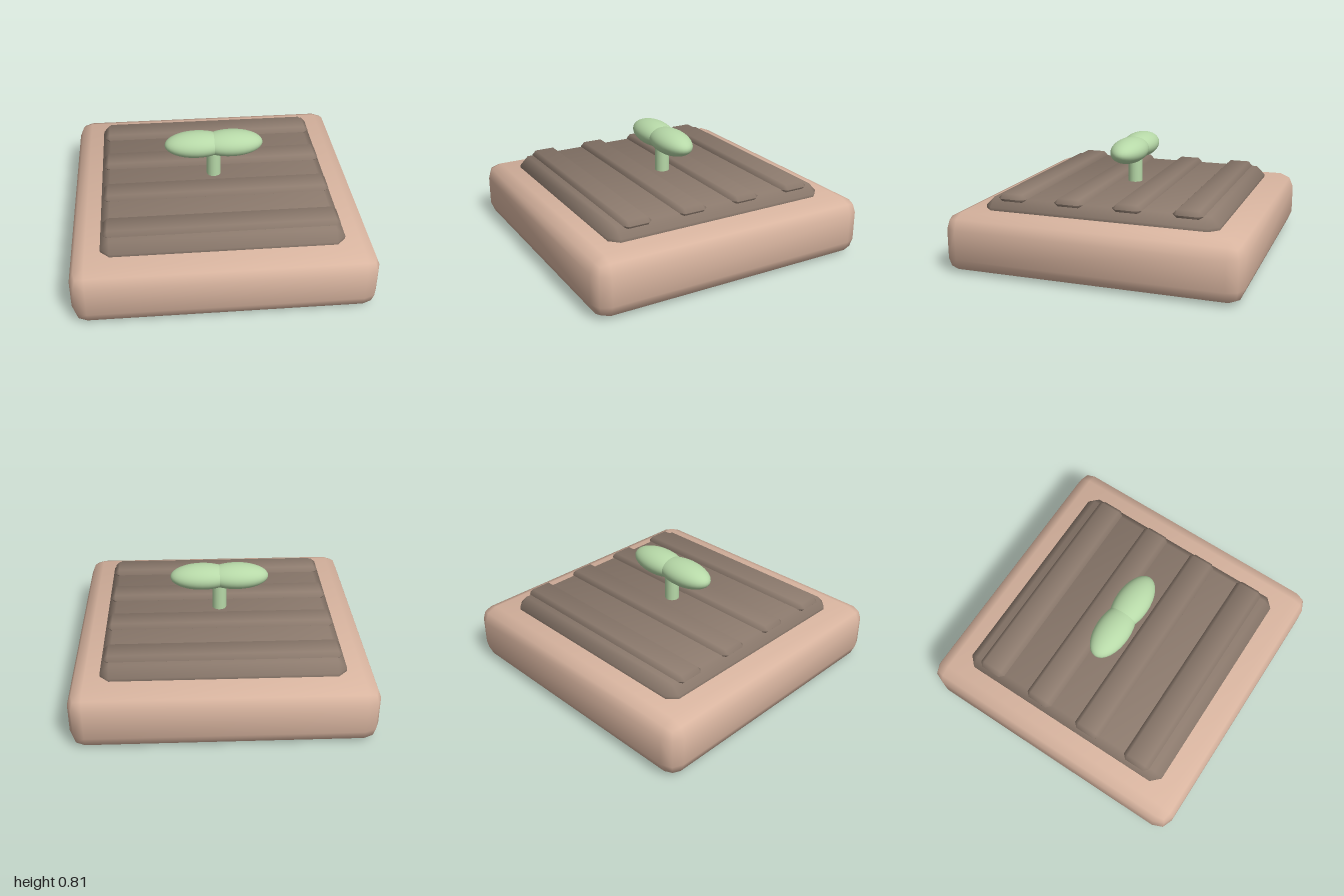
import * as THREE from 'three';
import { ConvexGeometry } from 'three/addons/geometries/ConvexGeometry.js';

const material = (color) => new THREE.MeshStandardMaterial({ color });

// Box with bevelled edges (1 or 2 bevel steps) and soft shading across the bevels
function bevelBox(w, h, d, r, steps) {
  const inner = [w / 2 - r, h / 2 - r, d / 2 - r];
  const dirs = [[1, 0, 0], [0, 1, 0], [0, 0, 1]];
  if (steps === 2) dirs.push([1, 1, 0], [0, 1, 1], [1, 0, 1], [1, 1, 1]);
  const points = [];
  for (const sx of [-1, 1]) for (const sy of [-1, 1]) for (const sz of [-1, 1]) {
    for (const dir of dirs) {
      const n = new THREE.Vector3(...dir).normalize().multiplyScalar(r);
      points.push(new THREE.Vector3(
        sx * (inner[0] + n.x), sy * (inner[1] + n.y), sz * (inner[2] + n.z)));
    }
  }
  const geometry = new ConvexGeometry(points);
  const pos = geometry.attributes.position;
  const normal = geometry.attributes.normal;
  const lean = 0.6 / steps;
  const p = new THREE.Vector3();
  for (let i = 0; i < pos.count; i++) {
    p.fromBufferAttribute(pos, i);
    const n = ['x', 'y', 'z'].map((axis, k) =>
      Math.sign(p[axis]) * ((Math.abs(p[axis]) - inner[k]) / r + lean));
    p.set(...n).normalize();
    normal.setXYZ(i, p.x, p.y, p.z);
  }
  return geometry;
}

export function createModel() {
  const model = new THREE.Group();
  model.name = 'planterBed';
  const clay = material(0xd9b5a0);
  const earth = material(0x8d7b6e);
  const green = material(0xb7d9a8);

  const add = (name, geometry, mat, x, y, z) => {
    const mesh = new THREE.Mesh(geometry, mat);
    mesh.name = name;
    mesh.position.set(x, y, z);
    model.add(mesh);
    return mesh;
  };

  // Base slab and soil bed
  add('base', bevelBox(2, 0.4, 2, 0.1, 2), clay, 0, 0.2, 0);
  add('soil', bevelBox(1.6, 0.16, 1.6, 0.06, 1), earth, 0, 0.4, 0);

  // Four raised rows
  const row = bevelBox(1.56, 0.06, 0.2, 0.0299, 1);
  [-0.6, -0.2, 0.2, 0.6].forEach((z, i) => add(`row${i + 1}`, row, earth, 0, 0.48, z));

  // Sprout: stem and a mirrored pair of leaves
  add('stem', new THREE.CylinderGeometry(0.05, 0.05, 0.27, 16), green, 0, 0.565, 0);
  const leaf = new THREE.SphereGeometry(1, 32, 20);
  leaf.scale(0.225, 0.087, 0.12);
  add('leftLeaf', leaf, green, 0.12, 0.724, 0);
  add('rightLeaf', leaf, green, -0.12, 0.724, 0);

  return model;
}
